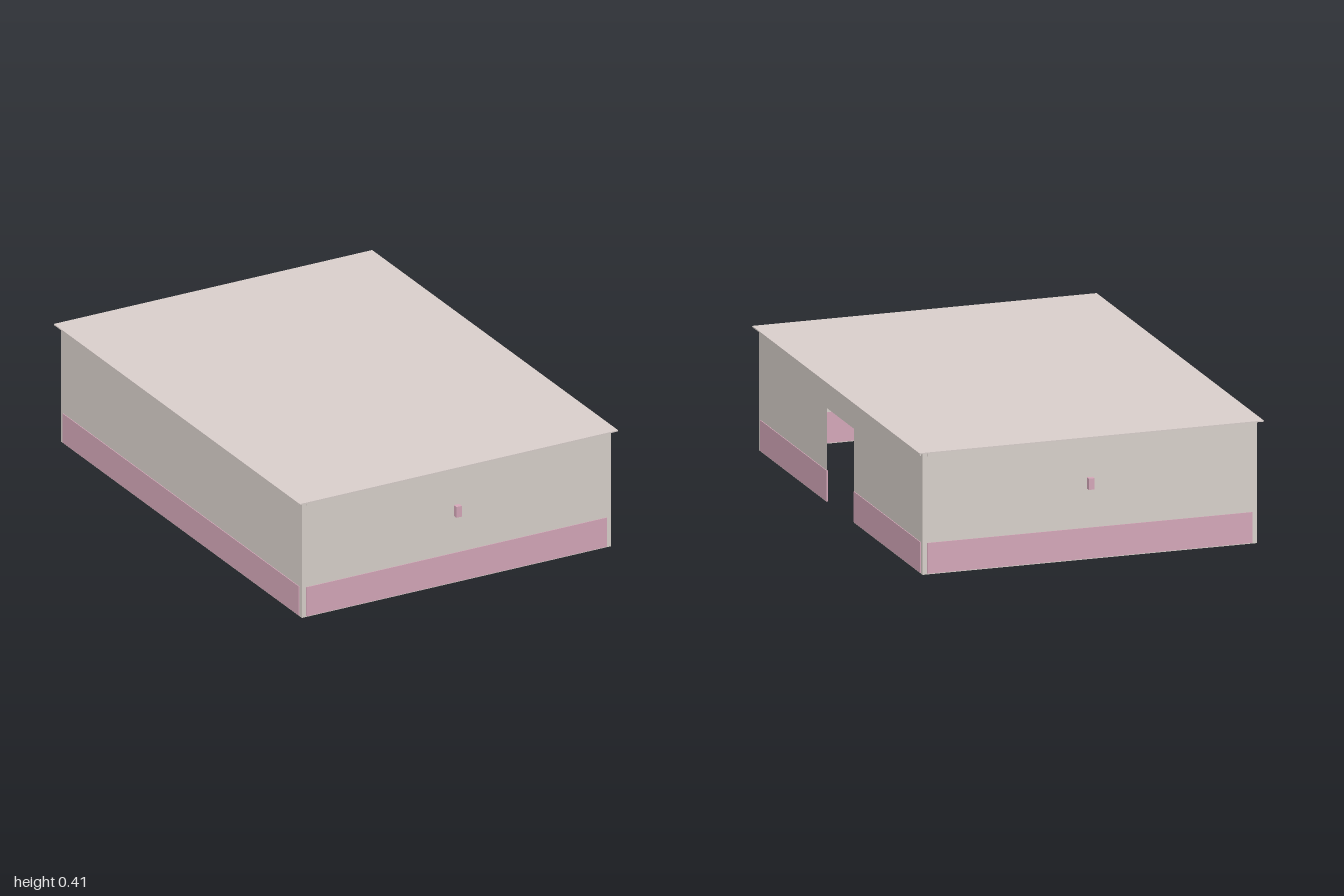
import * as THREE from 'three';

const W = 0.573, L = 0.793, H = 0.411;      // half width, half length, wall height
const DOOR = 0.131, DOOR_H = 0.315;         // half door width, door height
const GAP = 0.016, BAND = 0.106, THICK = 0.005;

export function createModel() {
  const wall = new THREE.MeshStandardMaterial({ color: 0xddd5cf, side: THREE.DoubleSide });
  wall.name = 'warm white wall';
  const roofMat = new THREE.MeshStandardMaterial({ color: 0xddd3cf });
  roofMat.name = 'roof beige';
  const pink = new THREE.MeshStandardMaterial({ color: 0xd9abbd });
  pink.name = 'dusty pink';

  const model = new THREE.Group();
  model.name = 'building';
  const house = new THREE.Group();
  house.name = 'house';
  house.rotation.y = 0.543;
  model.add(house);

  const box = (parent, name, mat, size, pos) => {
    const m = new THREE.Mesh(new THREE.BoxGeometry(...size), mat);
    m.name = name;
    m.position.set(...pos);
    parent.add(m);
  };

  // One side: thin wall with optional doorway, painted band and top trim
  const side = (name, half, distance, angle, hasDoor) => {
    const g = new THREE.Group();
    g.name = name;
    g.rotation.y = angle;
    const pts = [[-half, 0]];
    if (hasDoor) pts.push([-DOOR, 0], [-DOOR, DOOR_H], [DOOR, DOOR_H], [DOOR, 0]);
    pts.push([half, 0], [half, H], [-half, H]);
    const shape = new THREE.Shape(pts.map(p => new THREE.Vector2(...p)));
    const sheet = new THREE.Mesh(new THREE.ShapeGeometry(shape), wall);
    sheet.name = name + 'Sheet';
    sheet.position.z = distance;
    g.add(sheet);

    const end = half - GAP;
    const spans = hasDoor ? [[-end, -DOOR], [DOOR, end]] : [[-end, end]];
    for (const [a, b] of spans) {
      box(g, 'skirtingBand', pink, [b - a, BAND - 0.003, THICK], [(a + b) / 2, (BAND + 0.003) / 2, distance]);
    }
    box(g, 'topTrim', wall, [end * 2, 0.014, THICK], [0, H - 0.009, distance]);
    house.add(g);
    return g;
  };

  // Long sides, the doorway on the model's left
  side('doorWall', L, W, Math.PI / 2, true);
  side('plainWall', L, W, -Math.PI / 2, false);

  // Short ends, each with a small fixture through the wall
  for (const [name, angle] of [['frontWall', 0], ['backWall', Math.PI]]) {
    const g = side(name, W, L, angle, false);
    box(g, 'wallFixture', pink, [0.02, 0.038, 0.036], [0, 0.256, L]);
  }

  // Flat roof with a small overhang
  box(house, 'roof', roofMat, [1.18, 0.004, 1.62], [0, H + 0.001, 0]);

  return model;
}
